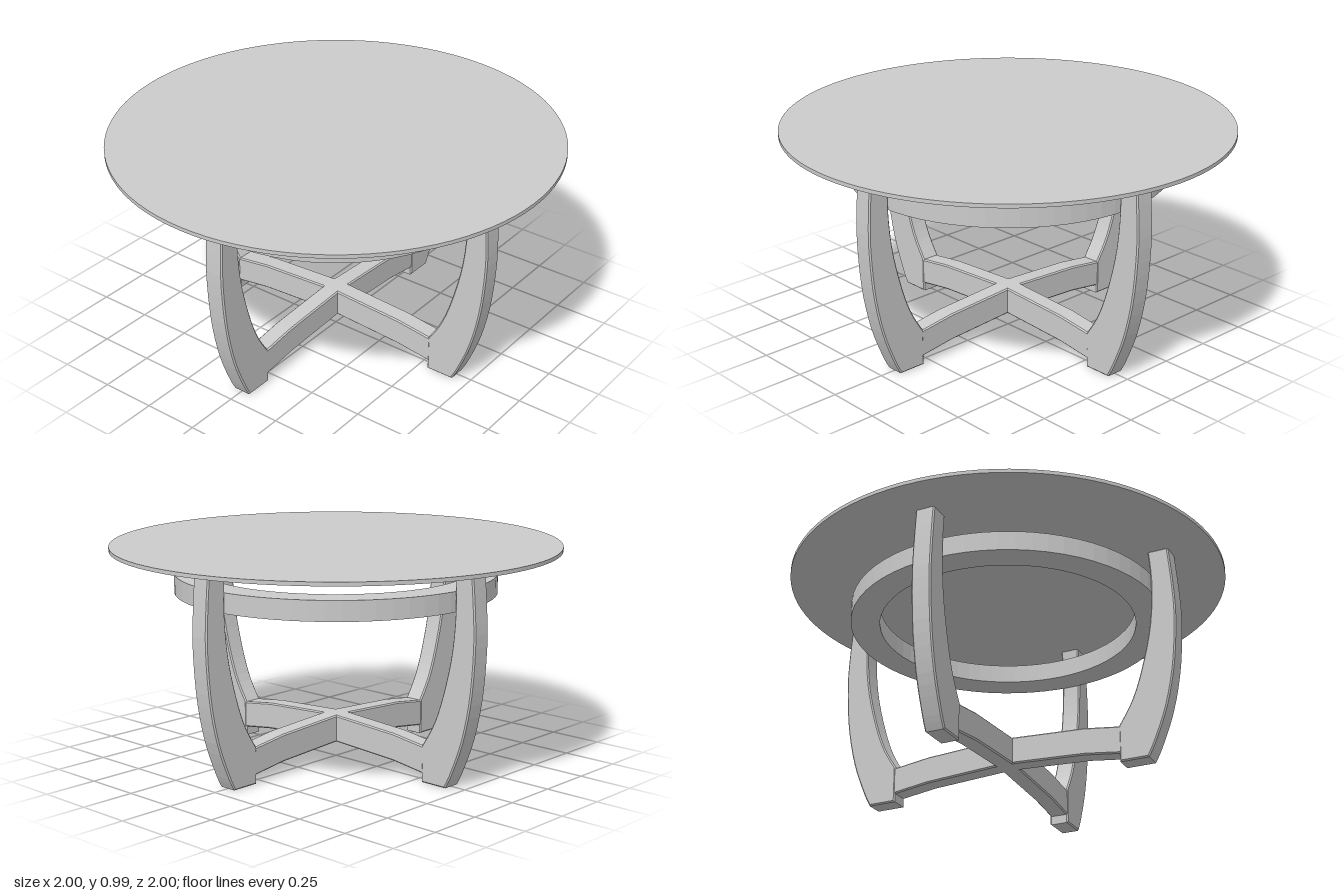
import * as THREE from 'three';

const material = new THREE.MeshStandardMaterial({ color: 0xcccccc });
const flatMaterial = new THREE.MeshStandardMaterial({ color: 0xcccccc, flatShading: true });
const BEVEL = 0.006;

// Extrudes a side profile to a centred board with slightly eased edges
function board(shape, width, curveSegments) {
  const geometry = new THREE.ExtrudeGeometry(shape, {
    depth: width - 2 * BEVEL, curveSegments,
    bevelSize: BEVEL, bevelThickness: BEVEL, bevelOffset: -BEVEL, bevelSegments: 1,
  });
  return geometry.translate(0, 0, -width / 2 + BEVEL);
}

const vectors = (points) => points.map(([x, y]) => new THREE.Vector2(x, y));

// Bowed leg: flat foot, curved outer and inner edges
function legGeometry() {
  const shape = new THREE.Shape();
  shape.moveTo(0.545, 0);
  shape.lineTo(0.675, 0);
  shape.splineThru(vectors([[0.71, 0.07], [0.766, 0.22], [0.806, 0.41], [0.823, 0.63], [0.817, 0.8], [0.802, 0.972]]));
  shape.lineTo(0.707, 0.972);
  shape.splineThru(vectors([[0.717, 0.8], [0.701, 0.6], [0.657, 0.41], [0.607, 0.27], [0.545, 0.165]]));
  shape.closePath();
  return board(shape, 0.09, 3);
}

// Arched stretcher running between two opposite legs
function stretcherGeometry() {
  const arch = [[-0.56, 0.038], [-0.38, 0.062], [-0.04, 0.081], [0.04, 0.081], [0.38, 0.062], [0.56, 0.038]];
  const top = arch.map(([x, y]) => [x, y + 0.124]).reverse();
  return board(new THREE.Shape(vectors([...arch, ...top])), 0.085, 1);
}

// Closed ring with a rectangular cross-section
function ringGeometry(inner, outer, bottom, top, segments) {
  const section = vectors([[inner, bottom], [outer, bottom], [outer, top], [inner, top], [inner, bottom]]);
  return new THREE.LatheGeometry(section, segments);
}

export function createModel() {
  const table = new THREE.Group();
  table.name = 'roundTable';

  const add = (name, geometry, mat, angle = 0) => {
    const mesh = new THREE.Mesh(geometry, mat);
    mesh.name = name;
    mesh.rotation.y = angle;
    table.add(mesh);
  };

  // Thin round top
  add('tableTop', new THREE.CylinderGeometry(1, 1, 0.017, 96).translate(0, 0.9775, 0), material);

  // Ring holding the legs together under the top
  add('apronRing', ringGeometry(0.585, 0.718, 0.772, 0.86, 64), flatMaterial);

  // Four legs, one on each axis
  const leg = legGeometry();
  ['leftLeg', 'backLeg', 'rightLeg', 'frontLeg'].forEach((name, i) => add(name, leg, material, i * Math.PI / 2));

  // Crossed stretchers
  const stretcher = stretcherGeometry();
  add('sideStretcher', stretcher, material);
  add('frontBackStretcher', stretcher, material, Math.PI / 2);

  return table;
}
